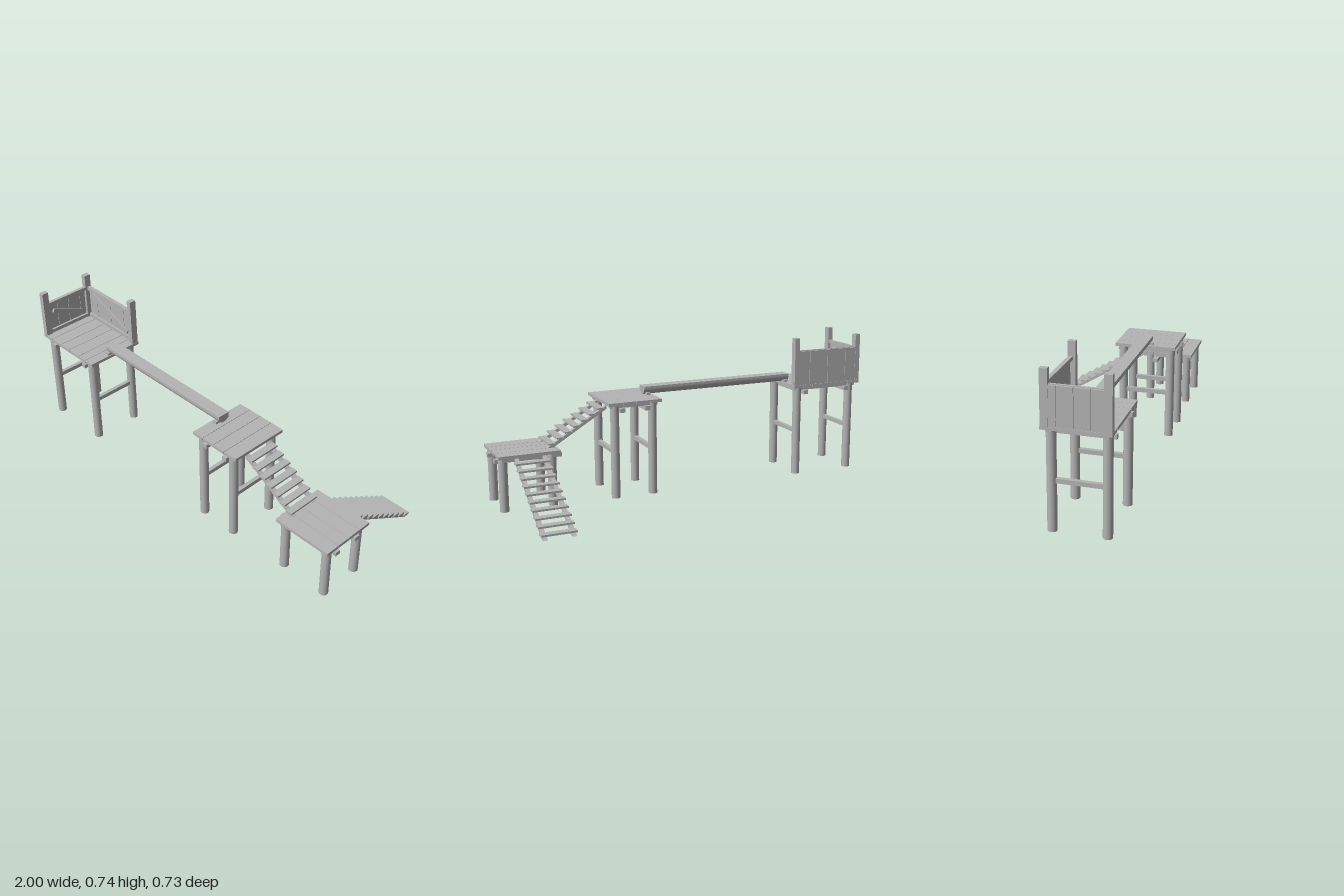
import * as THREE from 'three';

const wood = new THREE.MeshStandardMaterial({ color: 0xb4b4b4 });
wood.name = 'plain wood grey';

function add(parent, name, geometry, x = 0, y = 0, z = 0) {
  const mesh = new THREE.Mesh(geometry, wood);
  mesh.name = name;
  mesh.position.set(x, y, z);
  parent.add(mesh);
  return mesh;
}

// Box given by its limits on each axis
function block(parent, name, [x0, x1], [y0, y1], [z0, z1]) {
  return add(parent, name, new THREE.BoxGeometry(x1 - x0, y1 - y0, z1 - z0),
    (x0 + x1) / 2, (y0 + y1) / 2, (z0 + z1) / 2);
}

// Row of boards side by side along one axis, with narrow gaps
function boards(parent, name, axis, cuts, ranges) {
  for (let i = 0; i < cuts.length - 1; i++) {
    const r = ranges.slice();
    r[axis] = [cuts[i] + (i ? 0.001 : 0), cuts[i + 1] - (i < cuts.length - 2 ? 0.001 : 0)];
    block(parent, name, ...r);
  }
}

function legs(parent, xs, zs, height) {
  for (const x of xs) for (const z of zs)
    add(parent, 'leg', new THREE.CylinderGeometry(0.022, 0.022, height, 24), x, height / 2, z);
}

// Tall platform with planks running front to back
function tallPlatform(name, cuts, legX, beamX) {
  const g = new THREE.Group();
  g.name = name;
  boards(g, 'deckBoard', 0, cuts, [null, [0.475, 0.49], [0.055, 0.365]]);
  legs(g, legX, [0.09, 0.335], 0.475);
  for (const x of beamX) block(g, 'crossBeam', [x - 0.013, x + 0.013], [0.439, 0.46], [0.056, 0.365]);
  for (const z of [0.09, 0.335])
    block(g, 'joist', [cuts[0] + 0.015, cuts[cuts.length - 1] - 0.015], [0.459, 0.475], [z - 0.013, z + 0.013]);
  for (const x of legX) block(g, 'legBrace', [x - 0.01, x + 0.01], [0.225, 0.246], [0.09, 0.335]);
  return g;
}

// Steps descending along local +x from the centre of the first tread
function stairs(name, count, start, bottom) {
  const g = new THREE.Group();
  g.name = name;
  const slope = 0.6, thick = 0.018;
  const top = u => -0.004 - slope * u;
  const end = (-0.004 - bottom) / slope;
  const side = new THREE.Shape([
    new THREE.Vector2(start, top(start) - thick),
    new THREE.Vector2(end - thick / slope, bottom),
    new THREE.Vector2(end, bottom),
    new THREE.Vector2(start, top(start)),
  ]);
  for (const z of [-0.068, 0.068])
    add(g, 'stringer', new THREE.ExtrudeGeometry(side, { depth: 0.02, bevelEnabled: false }), 0, 0, z - 0.01);
  for (let i = 0; i < count; i++)
    add(g, 'tread', new THREE.BoxGeometry(0.037, 0.009, 0.17), i * 0.0422, -i * 0.0254, 0);
  return g;
}

// Beam log with rounded underside and flat walking surface
function halfLog() {
  const s = new THREE.Shape();
  s.moveTo(0.032, 0.01);
  s.lineTo(-0.032, 0.01);
  s.lineTo(-0.032, 0);
  s.absarc(0, 0, 0.032, Math.PI, Math.PI * 2, false);
  s.closePath();
  const geo = new THREE.ExtrudeGeometry(s, { depth: 0.84, bevelEnabled: false, curveSegments: 20 });
  geo.rotateY(Math.PI / 2);
  return geo;
}

export function createModel() {
  const model = new THREE.Group();
  model.name = 'climbingCourse';

  // Lookout platform
  const lookout = tallPlatform('lookoutPlatform',
    [-1, -0.93, -0.855, -0.785, -0.705, -0.65, -0.595], [-0.955, -0.632], [-0.92, -0.668]);
  model.add(lookout);

  // Corner posts
  for (const [x, z] of [[-0.9865, 0.0745], [-0.6115, 0.0745], [-0.9865, 0.347]])
    block(lookout, 'cornerPost', [x - 0.0135, x + 0.0135], [0.49, 0.74], [z - 0.0175, z + 0.0175]);

  // Back wall
  boards(lookout, 'backWallBoard', 0, [-0.975, -0.91, -0.8, -0.69, -0.624],
    [null, [0.49, 0.67], [0.058, 0.068]]);
  for (const y of [0.491, 0.654])
    block(lookout, 'backRail', [-0.973, -0.625], [y, y + 0.019], [0.068, 0.08]);
  const backBrace = add(lookout, 'backDiagonal', new THREE.BoxGeometry(0.3, 0.022, 0.008), -0.8, 0.58, 0.072);
  backBrace.rotation.z = -0.37;

  // Side wall
  boards(lookout, 'sideWallBoard', 2, [0.092, 0.125, 0.2, 0.272, 0.33],
    [[-0.998, -0.988], [0.49, 0.67], null]);
  for (const y of [0.491, 0.654])
    block(lookout, 'sideRail', [-0.988, -0.976], [y, y + 0.019], [0.092, 0.33]);
  const sideBrace = add(lookout, 'sideDiagonal', new THREE.BoxGeometry(0.012, 0.021, 0.2), -0.982, 0.577, 0.212);
  sideBrace.rotation.x = -0.4;

  // Middle platform
  model.add(tallPlatform('middlePlatform', [0.165, 0.23, 0.3, 0.37, 0.445], [0.205, 0.405], [0.241, 0.373]));

  // Balance log and its cradles
  add(model, 'balanceLog', halfLog(), -0.63, 0.522, 0.21);
  for (const x of [-0.61, 0.19])
    for (const side of [-1, 1]) {
      const wedge = new THREE.Shape([
        new THREE.Vector2(0.01, 0), new THREE.Vector2(0.04, 0),
        new THREE.Vector2(0.04, 0.012), new THREE.Vector2(0.026, 0.012),
      ]);
      const geo = new THREE.ExtrudeGeometry(wedge, { depth: 0.02, bevelEnabled: false });
      geo.rotateY(side * Math.PI / 2);
      add(model, 'logCradle', geo, x - side * 0.01, 0.49, 0.21);
    }

  // Low platform with planks running sideways
  const low = new THREE.Group();
  low.name = 'lowPlatform';
  model.add(low);
  boards(low, 'deckBoard', 2, [0.068, 0.135, 0.21, 0.275, 0.35], [[0.69, 0.997], [0.268, 0.283], null]);
  legs(low, [0.725, 0.967], [0.112, 0.318], 0.268);
  for (const z of [0.15, 0.282])
    block(low, 'crossBeam', [0.665, 1], [0.233, 0.253], [z - 0.014, z + 0.014]);
  for (const x of [0.725, 0.967])
    block(low, 'joist', [x - 0.013, x + 0.013], [0.252, 0.268], [0.073, 0.343]);

  // Stairs between platforms and down to the ground
  const upper = stairs('upperStairs', 7, -0.03, -0.17);
  upper.position.set(0.462, 0.453, 0.21);
  const lower = stairs('groundStairs', 10, -0.035, -0.248);
  lower.position.set(0.84, 0.248, 0.041);
  lower.rotation.y = Math.PI / 2;
  model.add(upper, lower);

  return model;
}
